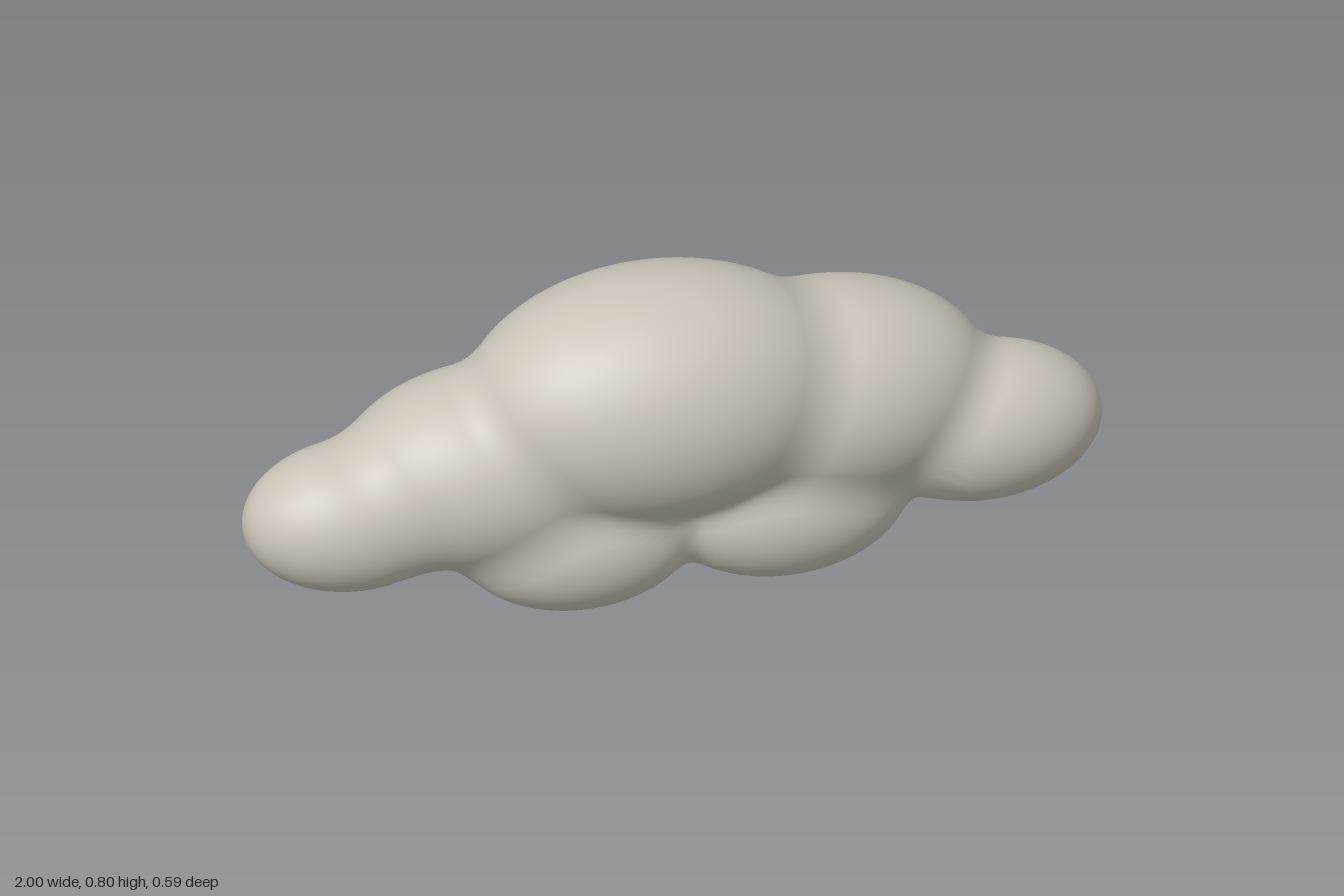
import * as THREE from 'three';

// Puffs of the cloud: centre x, y, z, then radius x and radius y/z
const PUFFS = [
  [-0.04, 0.51, 0, 0.45, 0.295],      // big middle puff
  [0.36, 0.42, -0.04, 0.39, 0.26],    // left shoulder
  [-0.42, 0.355, -0.022, 0.36, 0.238], // right shoulder
  [0.72, 0.302, 0, 0.28, 0.184],      // left end
  [-0.74, 0.285, -0.005, 0.26, 0.175], // right end
  [0.25, 0.2, 0.015, 0.3, 0.196],     // left belly
  [-0.23, 0.19, 0.04, 0.285, 0.185],  // right belly
];
const BLEND = 0.05;

// Approximate distance to one ellipsoid
function puffDistance(p, [cx, cy, cz, rx, r]) {
  const x = p.x - cx, y = p.y - cy, z = p.z - cz;
  const k0 = Math.hypot(x / rx, y / r, z / r);
  const k1 = Math.hypot(x / (rx * rx), y / (r * r), z / (r * r));
  return k1 < 1e-6 ? -r : (k0 * (k0 - 1)) / k1;
}

// Smooth union of all puffs
function cloudDistance(p) {
  let d = Infinity;
  for (const puff of PUFFS) {
    const e = puffDistance(p, puff);
    const h = Math.max(BLEND - Math.abs(d - e), 0) / BLEND;
    d = Math.min(d, e) - (d === Infinity ? 0 : h * h * BLEND / 4);
  }
  return d;
}

// Shrink-wrap a sphere, with its poles on the x axis, onto the blended puffs
function cloudGeometry() {
  const geometry = new THREE.SphereGeometry(1, 144, 200).rotateZ(Math.PI / 2);
  const pos = geometry.attributes.position, nor = geometry.attributes.normal;
  const centre = new THREE.Vector3(0, 0.37, 0);
  const reach = new THREE.Vector3(1.1, 0.52, 0.42);
  const dir = new THREE.Vector3(), p = new THREE.Vector3(), n = new THREE.Vector3();
  const at = (t) => p.copy(centre).addScaledVector(dir, t);
  for (let i = 0; i < pos.count; i++) {
    dir.fromBufferAttribute(pos, i).multiply(reach);
    let outer = 1.1;
    while (outer > 0.02 && cloudDistance(at(outer - 0.01)) > 0) outer -= 0.01;
    let inner = outer - 0.01;
    for (let k = 0; k < 14; k++) {
      const mid = (inner + outer) / 2;
      if (cloudDistance(at(mid)) > 0) outer = mid; else inner = mid;
    }
    at(inner);
    pos.setXYZ(i, p.x, p.y, p.z);
    // Smooth normal from the slope of the distance
    for (const axis of ['x', 'y', 'z']) {
      const v = p[axis], e = 0.002;
      p[axis] = v + e;
      const a = cloudDistance(p);
      p[axis] = v - e;
      n[axis] = a - cloudDistance(p);
      p[axis] = v;
    }
    n.normalize();
    nor.setXYZ(i, n.x, n.y, n.z);
  }
  return geometry;
}

export function createModel() {
  const group = new THREE.Group();
  group.name = 'cloud';
  const cloudGrey = new THREE.MeshStandardMaterial({ color: 0xc9c4b6 });
  cloudGrey.name = 'warm cloud grey';
  const body = new THREE.Mesh(cloudGeometry(), cloudGrey);
  body.name = 'cloudBody';
  group.add(body);
  return group;
}
